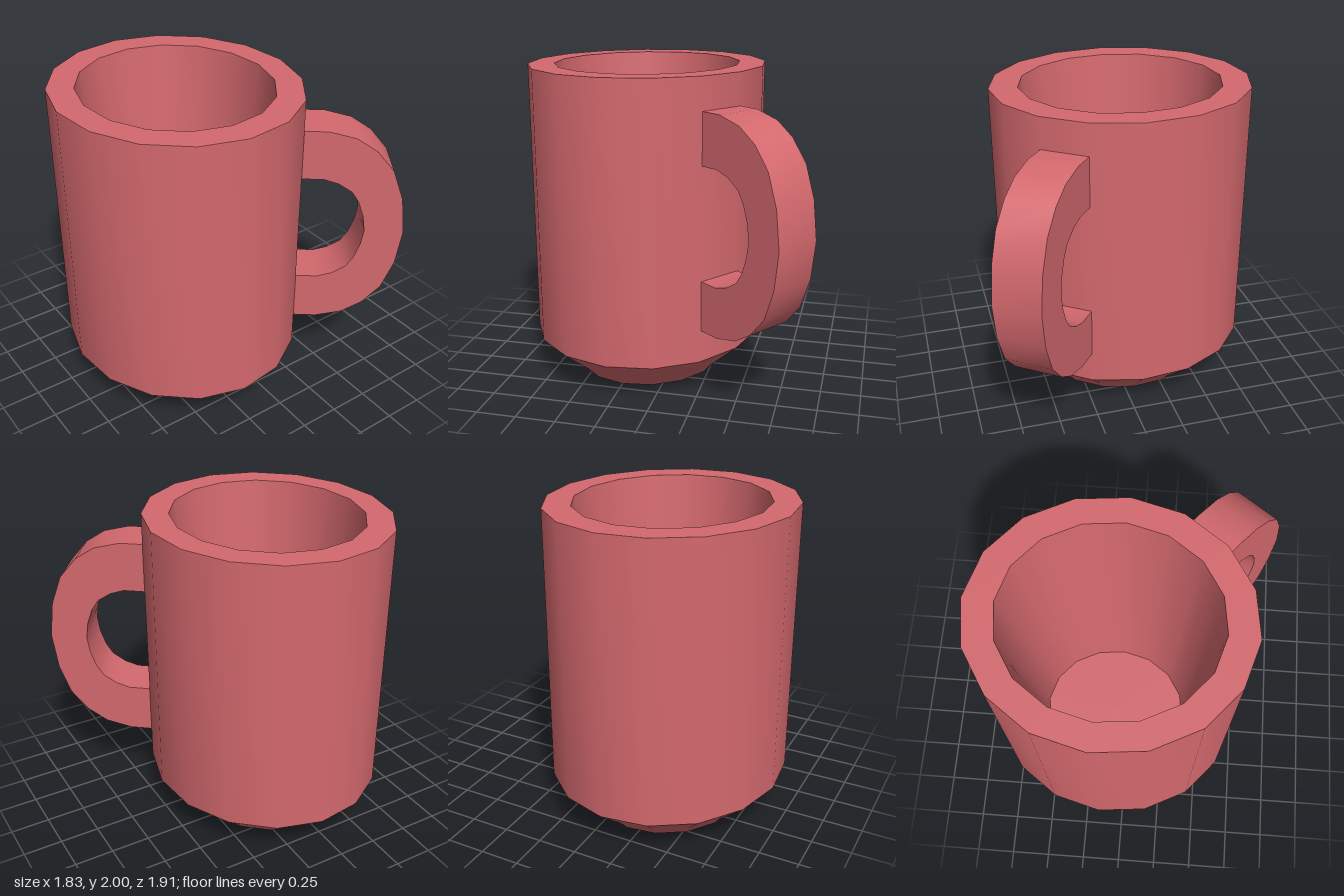
import * as THREE from 'three';
import { toCreasedNormals } from 'three/addons/utils/BufferGeometryUtils.js';

const vecs = (list) => list.map(([x, y]) => new THREE.Vector2(x, y));

export function createModel() {
  const group = new THREE.Group();
  group.name = 'mug';
  const ceramic = new THREE.MeshStandardMaterial({ color: 0xd4696e });
  ceramic.name = 'rose ceramic';

  // Cup: hollow sixteen-sided wall, slightly oval, with a chamfered foot
  const profile = vecs([
    [0, 0.04], [0.47, 0.035], [0.537, 0], [0.59, 0.06], [0.8225, 0.25],
    [0.8225, 2], [0.642, 2], [0.482, 0.25], [0, 0.25],
  ]);
  const cupGeometry = new THREE.LatheGeometry(profile, 16);
  cupGeometry.scale(1, 1, 0.908);
  cupGeometry.rotateY(-0.079);
  cupGeometry.translate(-0.1, 0, 0.207);
  const cup = new THREE.Mesh(toCreasedNormals(cupGeometry, 0.6), ceramic);
  cup.name = 'cup';
  group.add(cup);

  // Handle: upper halves of the outer and inner curves, mirrored about mid height
  const mid = 1.128;
  const outer = [[-0.02, 1.8], [0.14, 1.8], [0.305, 1.76], [0.43, 1.68], [0.54, 1.55], [0.61, 1.36], [0.64, mid]];
  const inner = [[-0.02, 1.483], [0.13, 1.483], [0.22, 1.455], [0.305, 1.4], [0.35, 1.33], [0.385, 1.23], [0.4, mid]];
  const mirrored = (half) => [
    ...half,
    ...half.slice(0, -1).reverse().map(([s, y]) => [s, 2 * mid - y]),
  ];
  const outline = vecs([...mirrored(outer), ...mirrored(inner).reverse()]);
  const handleGeometry = new THREE.ExtrudeGeometry(new THREE.Shape(outline), {
    depth: 2, bevelEnabled: false,
  });
  handleGeometry.translate(0, 0, -1);

  // Point the handle out of the back left side of the cup
  const placement = new THREE.Matrix4().makeBasis(
    new THREE.Vector3(0.62, 0, -0.785),
    new THREE.Vector3(0, 1, 0),
    new THREE.Vector3(0.1225, 0, 0.088),
  ).setPosition(0.395, 0, -0.37);
  handleGeometry.applyMatrix4(placement);
  const handle = new THREE.Mesh(toCreasedNormals(handleGeometry, 0.7), ceramic);
  handle.name = 'handle';
  group.add(handle);

  return group;
}
